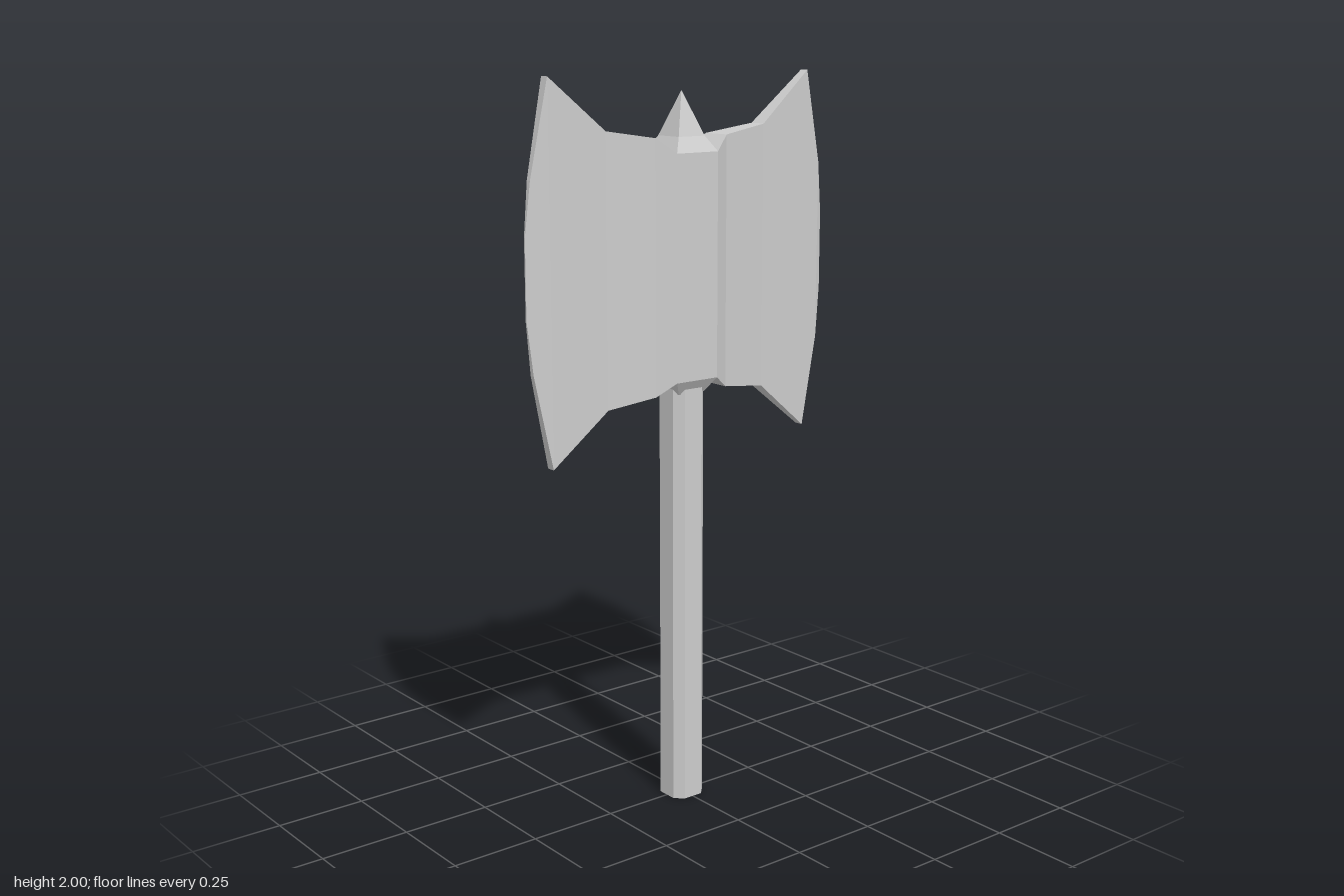
import * as THREE from 'three';

const material = new THREE.MeshStandardMaterial({ color: 0xcccccc, flatShading: true });

// Joins rings of [x, y, z] points (counter-clockwise seen from the far end) and caps both ends.
function loft(name, rings) {
  const pos = [];
  const tri = (a, b, c) => pos.push(...a, ...b, ...c);
  const n = rings[0].length;
  for (let r = 0; r < rings.length - 1; r++) {
    const a = rings[r], b = rings[r + 1];
    for (let i = 0; i < n; i++) {
      const j = (i + 1) % n;
      tri(a[i], a[j], b[j]);
      tri(a[i], b[j], b[i]);
    }
  }
  const first = rings[0], last = rings[rings.length - 1];
  for (let i = 1; i < n - 1; i++) {
    tri(first[0], first[i + 1], first[i]);
    tri(last[0], last[i], last[i + 1]);
  }
  const geometry = new THREE.BufferGeometry();
  geometry.setAttribute('position', new THREE.Float32BufferAttribute(pos, 3));
  geometry.computeVertexNormals();
  const mesh = new THREE.Mesh(geometry, material);
  mesh.name = name;
  return mesh;
}

// Square ring around the y axis
const square = (h, y) => [[-h, y, -h], [-h, y, h], [h, y, h], [h, y, -h]];

// Square with cut corners around the y axis: h to the flats, c half a flat
const cutSquare = (h, c, y) => [
  [-c, y, -h], [-h, y, -c], [-h, y, c], [-c, y, h],
  [c, y, h], [h, y, c], [h, y, -c], [c, y, -h],
];

// Upright rectangle across the x axis
const slice = ([x, lo, hi, z]) => [[x, lo, -z], [x, hi, -z], [x, hi, z], [x, lo, z]];

export function createModel() {
  const group = new THREE.Group();
  group.name = 'doubleAxe';

  // Handle
  group.add(loft('handle', [cutSquare(0.052, 0.029, 0), cutSquare(0.052, 0.029, 1.2)]));

  // Both blades and the socket: x, bottom, top, half thickness from socket to cutting edge
  const half = [
    [0.068, 1.2, 1.8, 0.068],
    [0.118, 1.165, 1.84, 0.043],
    [0.262, 1.146, 1.862, 0.025],
    [0.428, 1.01, 2.0, 0.013],
    [0.48, 1.26, 1.75, 0.007],
    [0.495, 1.4, 1.61, 0.002],
  ];
  const mirrored = half.map(([x, ...rest]) => [-x, ...rest]).reverse();
  group.add(loft('axeHead', [...mirrored, ...half].map(slice)));

  // Top spike and the collar under the socket
  group.add(loft('spike', [square(0.068, 1.8), square(0.043, 1.84), square(0.0005, 1.955)]));
  group.add(loft('collar', [square(0.043, 1.162), square(0.068, 1.2)]));

  return group;
}
